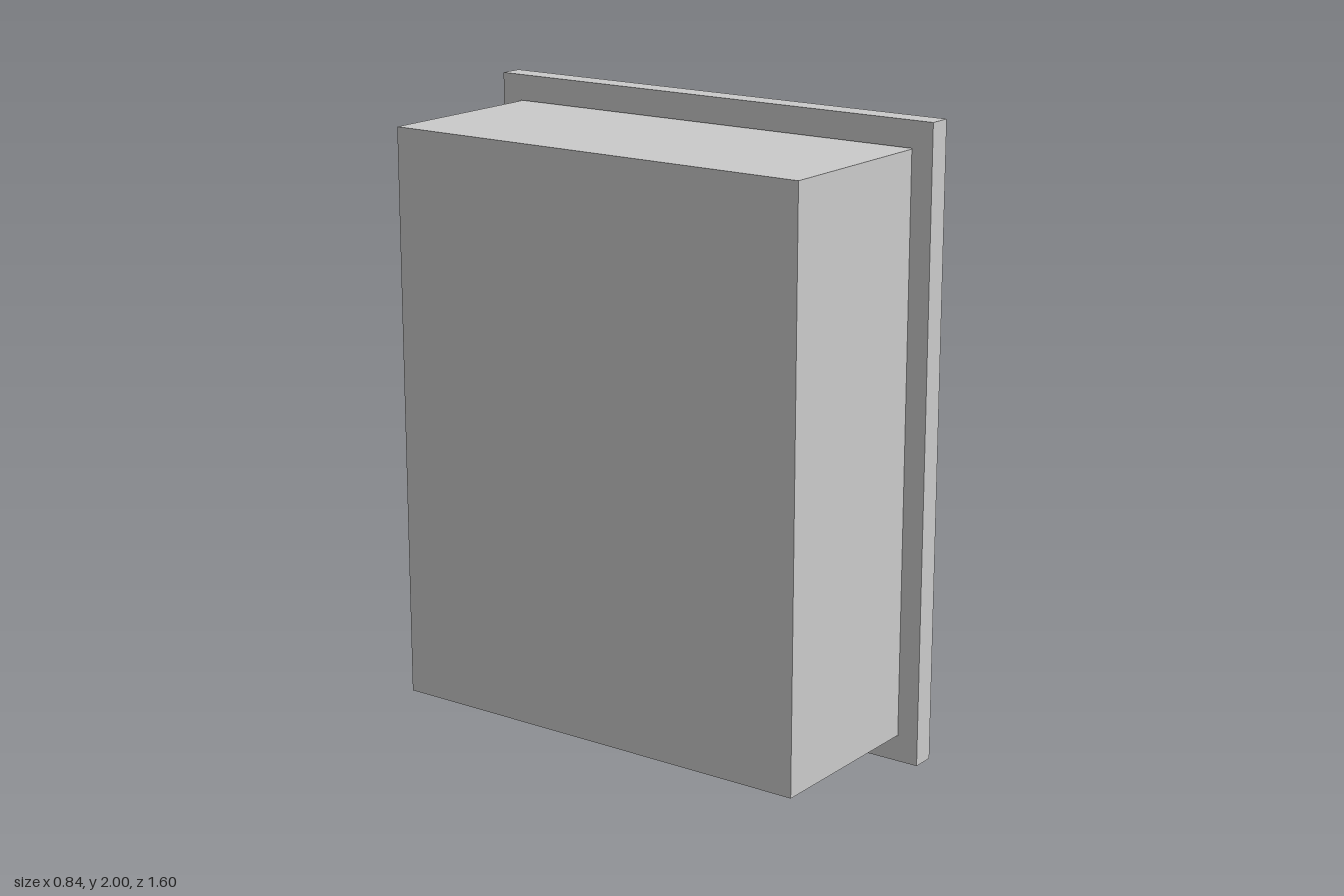
import * as THREE from 'three';

const paint = (color) => new THREE.MeshStandardMaterial({ color });

function add(parent, name, geometry, material, x = 0, y = 0, z = 0) {
  const mesh = new THREE.Mesh(geometry, material);
  mesh.name = name;
  mesh.position.set(x, y, z);
  parent.add(mesh);
  return mesh;
}

// Louvre: triangular cross-sections along z, lower and shallower at the ends
function louvreGeometry() {
  const full = [[0, 0], [0.055, -0.055], [0, -0.078]];
  const end = [[0, -0.033], [0.035, -0.07], [0, -0.09]];
  const sections = [[-0.02, end], [-0.11, full], [-0.53, full], [-0.62, end]];
  const pts = sections.map(([z, s]) => s.map(([x, y]) => [x, y, z]));
  const out = [];
  for (let i = 0; i < 3; i++) {
    for (let j = 0; j < 3; j++) {
      const k = (j + 1) % 3;
      const a = pts[i][j], b = pts[i][k], c = pts[i + 1][k], d = pts[i + 1][j];
      out.push(...a, ...d, ...c, ...a, ...c, ...b);
    }
  }
  out.push(...pts[0][0], ...pts[0][2], ...pts[0][1]);
  out.push(...pts[3][0], ...pts[3][1], ...pts[3][2]);
  // Reverse winding so that every face looks outward
  const flipped = [];
  for (let i = 0; i < out.length; i += 9) {
    flipped.push(...out.slice(i, i + 3), ...out.slice(i + 6, i + 9), ...out.slice(i + 3, i + 6));
  }
  const g = new THREE.BufferGeometry();
  g.setAttribute('position', new THREE.Float32BufferAttribute(flipped, 3));
  g.computeVertexNormals();
  return g;
}

export function createModel() {
  const group = new THREE.Group();
  const grey = paint(0xcccccc);
  const dark = paint(0x666666);
  const yellow = paint(0xffff11);

  // Cabinet body; its front face is the floor of the groove around the door
  add(group, 'cabinetBody', new THREE.BoxGeometry(0.625, 1.83, 1.46), grey, -0.1125, 1, 0);

  // Rim with a rectangular opening
  const rect = (w, h, T) => new T([[-w, -h], [w, -h], [w, h], [-w, h]].map((p) => new THREE.Vector2(...p)));
  const rimShape = rect(0.8, 1, THREE.Shape);
  rimShape.holes.push(rect(0.73, 0.917, THREE.Path));
  const rim = add(group, 'frontRim',
    new THREE.ExtrudeGeometry(rimShape, { depth: 0.075, bevelEnabled: false }), grey, 0.17, 1, 0);
  rim.rotation.y = Math.PI / 2;

  // Door panel, raised inside the rim
  add(group, 'door', new THREE.BoxGeometry(0.045, 1.688, 1.35), grey, 0.2145, 1.002, 0);

  // Vent louvres
  const louvre = louvreGeometry();
  const louvreMaterial = dark.clone();
  louvreMaterial.side = THREE.DoubleSide;
  for (let i = 0; i < 6; i++) {
    add(group, 'ventLouvre', louvre, louvreMaterial, 0.236, 0.6 - i * 0.0668, 0);
  }

  // Two hasp rings
  const ringShape = new THREE.Shape().absarc(0, 0, 0.051, 0, Math.PI * 2);
  ringShape.holes.push(new THREE.Path().absarc(0, 0, 0.041, 0, Math.PI * 2));
  const ring = new THREE.ExtrudeGeometry(ringShape, { depth: 0.043, bevelEnabled: false, curveSegments: 8 });
  for (const z of [-0.721, -0.67]) add(group, 'haspRing', ring, grey, 0.26, 1.025, z);

  // Padlock, hanging tilted away from the door
  const padlock = new THREE.Group();
  padlock.name = 'padlock';
  padlock.position.set(0.341, 0.795, -0.675);
  padlock.rotation.z = 0.328;
  group.add(padlock);
  add(padlock, 'padlockBody', new THREE.BoxGeometry(0.076, 0.264, 0.255), yellow);

  // Shackle: straight legs joined by a half-circle
  const path = new THREE.CurvePath();
  const r = 0.095, spring = 0.158;
  const points = [new THREE.Vector3(0, 0.12, -r)];
  for (let i = 0; i <= 6; i++) {
    const a = (Math.PI * i) / 6;
    points.push(new THREE.Vector3(0, spring + r * Math.sin(a), -r * Math.cos(a)));
  }
  points.push(new THREE.Vector3(0, 0.12, r));
  for (let i = 1; i < points.length; i++) path.add(new THREE.LineCurve3(points[i - 1], points[i]));
  add(padlock, 'shackle', new THREE.TubeGeometry(path, 28, 0.028, 12, false), dark);

  return group;
}
